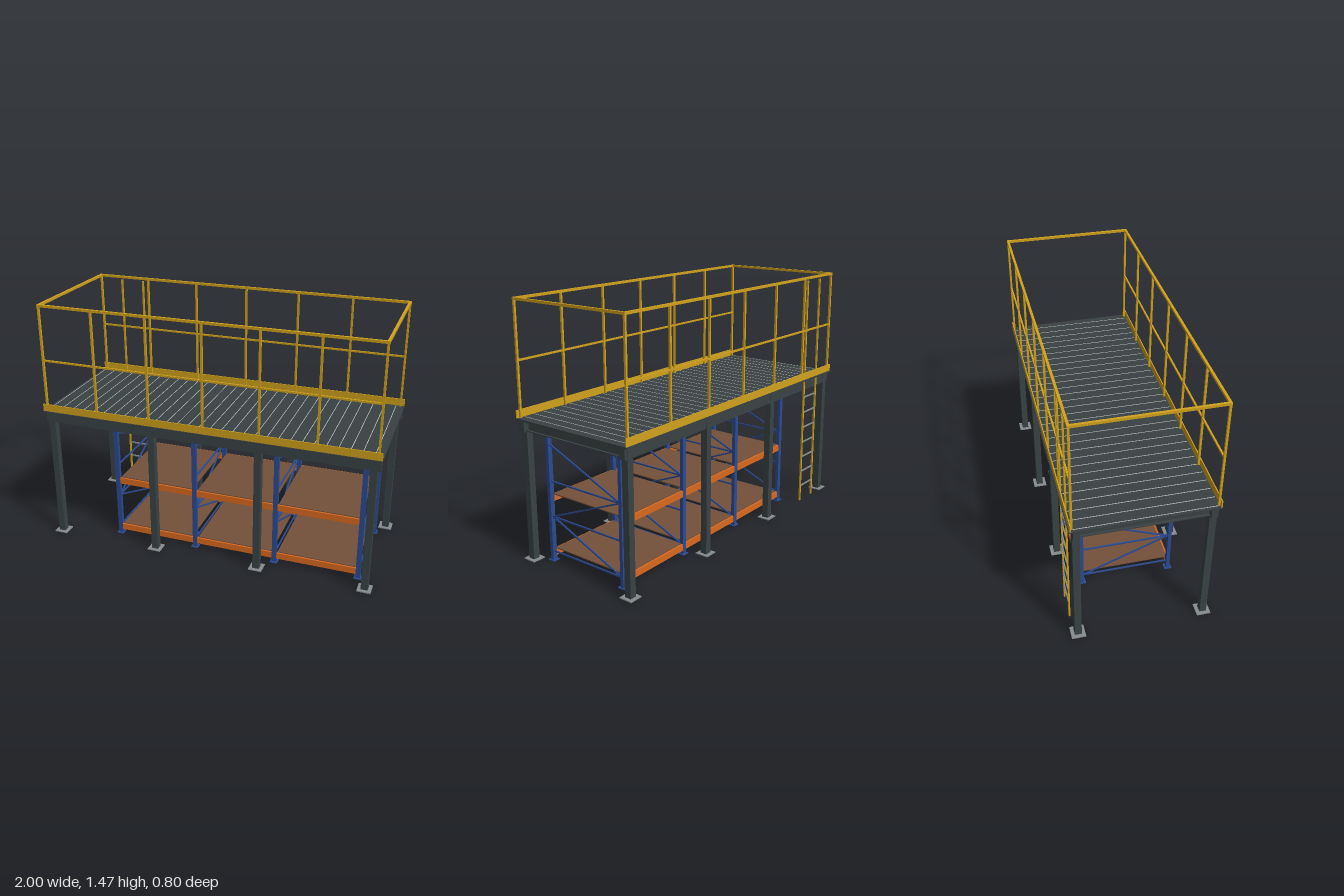
import * as THREE from 'three';

const mat = (name, color) => {
  const m = new THREE.MeshStandardMaterial({ color });
  m.name = name;
  return m;
};

export function createModel() {
  const model = new THREE.Group();
  model.name = 'storagePlatform';
  const steel = mat('dark steel', 0x3a4345);
  const deckGrey = mat('deck grey', 0x394143);
  const plateGrey = mat('plate grey', 0x868c8e);
  const lightGrey = mat('seam light grey', 0xb9bdbd);
  const yellow = mat('safety yellow', 0xd2a21c);
  const blue = mat('rack blue', 0x2c4b92);
  const orange = mat('beam orange', 0xdb6a1e);
  const brown = mat('shelf brown', 0x74503a);

  const group = (name) => {
    const g = new THREE.Group();
    g.name = name;
    model.add(g);
    return g;
  };
  // Box given by its centre and size
  const box = (parent, name, material, [x, y, z], [w, h, d]) => {
    const m = new THREE.Mesh(new THREE.BoxGeometry(w, h, d), material);
    m.name = name;
    m.position.set(x, y, z);
    parent.add(m);
    return m;
  };
  // Square bar in a plane of constant x, from (y0, z0) to (y1, z1)
  const brace = (parent, x, y0, z0, y1, z1) => {
    const len = Math.hypot(y1 - y0, z1 - z0);
    const m = box(parent, 'brace', blue, [x, (y0 + y1) / 2, (z0 + z1) / 2], [0.008, 0.008, len]);
    m.rotation.x = -Math.atan2(y1 - y0, z1 - z0);
  };

  // Columns with base plates
  const frame = group('platformFrame');
  const columnX = [-0.957, -0.32, 0.32, 0.957];
  for (const x of columnX) {
    for (const z of [-0.36, 0.36]) {
      box(frame, 'column', steel, [x, 0.41, z], [0.04, 0.81, 0.039]);
      box(frame, 'basePlate', plateGrey, [x, 0.003, z], [0.08, 0.006, 0.08]);
    }
  }
  // Long edge beams and lower cross beams
  for (const z of [-0.36, 0.36]) box(frame, 'edgeBeam', steel, [0, 0.783, z], [1.99, 0.064, 0.036]);
  for (let i = -3; i <= 3; i++) {
    const x = i * 0.319;
    box(frame, 'crossBeamWeb', steel, [x, 0.78, 0], [0.012, 0.054, 0.69]);
    for (const y of [0.756, 0.804]) box(frame, 'crossBeamFlange', steel, [x, y, 0], [0.036, 0.006, 0.69]);
  }

  // Deck with plank seams
  const deck = group('deck');
  box(deck, 'deckPlate', deckGrey, [0, 0.819, 0], [2, 0.009, 0.8]);
  for (let i = 0; i < 30; i++) {
    box(deck, 'plankSeam', lightGrey, [-0.983 + i * 0.0667, 0.8238, 0], [0.004, 0.0016, 0.764]);
  }

  // Guard rails: long sides have mid rails and toe boards, ends only a top rail
  const rails = group('guardRails');
  for (const z of [-0.382, 0.382]) {
    const s = Math.sign(z);
    for (let i = -3; i <= 3; i++) {
      box(rails, 'railPost', yellow, [i * 0.326, 1.142, z], [0.012, 0.636, 0.012]);
    }
    box(rails, 'topRail', yellow, [0, 1.461, z], [1.972, 0.014, 0.014]);
    box(rails, 'midRail', yellow, [0, 1.136, z], [1.96, 0.01, 0.01]);
    box(rails, 'toeBoard', yellow, [0, 0.845, s * 0.391], [2, 0.044, 0.006]);
  }
  for (const x of [-0.978, 0.978]) {
    box(rails, 'endRail', yellow, [x, 1.461, 0], [0.014, 0.014, 0.764]);
  }

  // Ladder at the back
  const ladder = group('ladder');
  for (const x of [-0.833, -0.688]) {
    box(ladder, 'ladderRail', yellow, [x, 0.722, -0.382], [0.011, 1.444, 0.01]);
  }
  for (let i = 1; i <= 7; i++) {
    box(ladder, 'rung', plateGrey, [-0.7605, i * 0.1005, -0.382], [0.138, 0.008, 0.008]);
  }

  // Rack uprights with feet and zigzag bracing
  const rack = group('palletRack');
  const uprightX = [-0.6, -0.1, 0.4, 0.9];
  for (const x of uprightX) {
    for (const z of [-0.262, 0.262]) {
      box(rack, 'upright', blue, [x, 0.365, z], [0.028, 0.73, 0.021]);
      box(rack, 'uprightFoot', blue, [x, 0.002, z], [0.044, 0.004, 0.044]);
    }
    for (const y of [0.055, 0.262, 0.47]) brace(rack, x, y, -0.252, y, 0.252);
    brace(rack, x, 0.47, -0.252, 0.68, 0.252);
    brace(rack, x, 0.47, -0.252, 0.262, 0.252);
    brace(rack, x, 0.055, -0.252, 0.262, 0.252);
  }

  // Shelf levels: beams and boards for each bay
  for (const y of [0.045, 0.368]) {
    for (let i = 0; i < 3; i++) {
      const x = (uprightX[i] + uprightX[i + 1]) / 2;
      for (const z of [-0.262, 0.262]) {
        box(rack, 'shelfBeam', orange, [x, y, z], [0.48, 0.038, 0.018]);
      }
      box(rack, 'shelfBoard', brown, [x, y + 0.0205, 0], [0.464, 0.006, 0.52]);
    }
  }
  return model;
}
